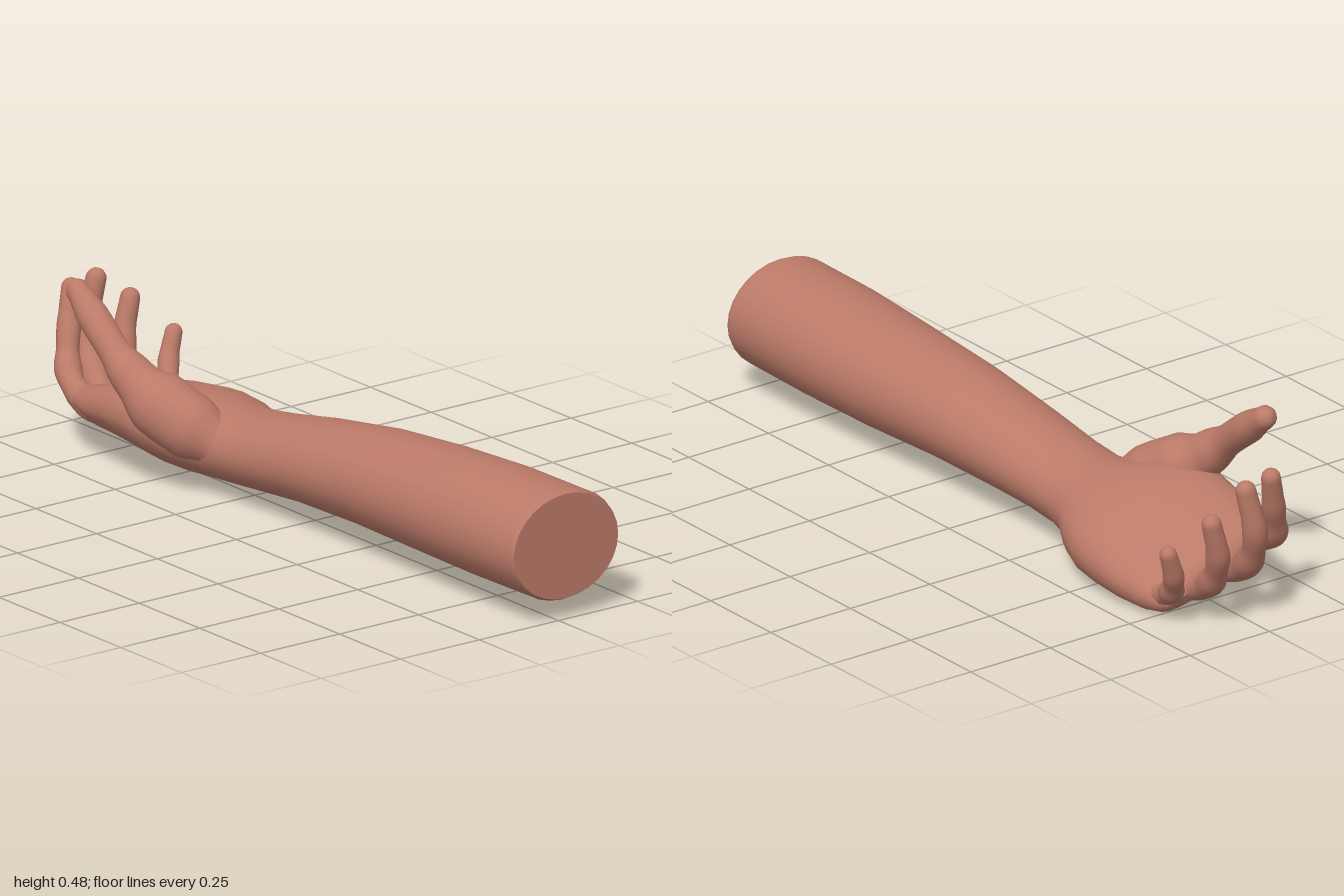
import * as THREE from 'three';

const skin = new THREE.MeshStandardMaterial({ color: 0xbb7a68 });
skin.name = 'skin';
const SIDES = 28;

// Joins closed rings of points (counter-clockwise about the direction of travel)
function loft(rings) {
  const n = rings[0].length, pos = [], idx = [];
  rings.forEach(r => r.forEach(p => pos.push(p.x, p.y, p.z)));
  for (let i = 0; i < rings.length - 1; i++) {
    for (let j = 0; j < n; j++) {
      const a = i * n + j, b = i * n + (j + 1) % n;
      idx.push(a, b, b + n, a, b + n, a + n);
    }
  }
  const g = new THREE.BufferGeometry();
  g.setAttribute('position', new THREE.Float32BufferAttribute(pos, 3));
  g.setIndex(idx);
  g.computeVertexNormals();
  return g;
}

function part(name, geometry) {
  const m = new THREE.Mesh(geometry, skin);
  m.name = name;
  return m;
}

// Tilted superellipse ring across z
function section([z, cx, cy, rx, ry, tilt = 0, power = 2]) {
  const pts = [], t = THREE.MathUtils.degToRad(tilt), c = Math.cos(t), s = Math.sin(t);
  const bend = v => Math.sign(v) * Math.abs(v) ** (2 / power);
  for (let j = 0; j < SIDES; j++) {
    const a = j / SIDES * Math.PI * 2;
    const u = rx * bend(Math.cos(a)), v = -ry * bend(Math.sin(a));
    pts.push(new THREE.Vector3(cx + u * c - v * s, cy + u * s + v * c, z));
  }
  return pts;
}

// Tapered digit along a curve, with a rounded tip; radii are spread evenly
function digit(points, radii, steps = 28, sides = 16) {
  const curve = new THREE.CatmullRomCurve3(points.map(p => new THREE.Vector3(...p)));
  const frames = curve.computeFrenetFrames(steps), length = curve.getLength();
  const tip = radii[radii.length - 1], rings = [];
  const ring = (p, i, r) => Array.from({ length: sides }, (_, j) => {
    const a = j / sides * Math.PI * 2;
    return p.clone().addScaledVector(frames.normals[i], r * Math.cos(a))
      .addScaledVector(frames.binormals[i], r * Math.sin(a));
  });
  for (let i = 0; i <= steps; i++) {
    const t = i / steps, f = t * (radii.length - 1), k = Math.min(Math.floor(f), radii.length - 2);
    const r = THREE.MathUtils.lerp(radii[k], radii[k + 1], THREE.MathUtils.smoothstep(f - k, 0, 1));
    rings.push(ring(curve.getPointAt(t), i, r));
  }
  const end = curve.getPointAt(1);
  for (let k = 1; k <= 5; k++) {
    const a = k / 5 * Math.PI / 2;
    const p = end.clone().addScaledVector(frames.tangents[steps], tip * Math.sin(a));
    rings.push(ring(p, steps, Math.max(tip * Math.cos(a), length * 1e-3)));
  }
  return loft(rings);
}

export function createModel() {
  const group = new THREE.Group();
  group.name = 'forearmAndHand';

  // Forearm and palm: z, centre x, centre y, half width, half height, tilt, squareness
  const sections = [
    [1, 0.024, 0.207, 0.165, 0.138],
    [0.985, 0.024, 0.207, 0.171, 0.145],
    [0.75, 0.024, 0.204, 0.171, 0.146],
    [0.5, 0.024, 0.198, 0.162, 0.139],
    [0.25, 0.018, 0.191, 0.149, 0.127],
    [0, 0.012, 0.171, 0.138, 0.11],
    [-0.15, 0.006, 0.152, 0.132, 0.101],
    [-0.25, 0.003, 0.141, 0.132, 0.098, -3],
    [-0.32, 0.003, 0.137, 0.148, 0.1, -8],
    [-0.39, 0.002, 0.138, 0.19, 0.106, -13, 2.1],
    [-0.46, 0, 0.14, 0.218, 0.108, -16, 2.2],
    [-0.54, 0.002, 0.138, 0.224, 0.1, -18, 2.3],
    [-0.63, 0.004, 0.126, 0.217, 0.083, -19, 2.4],
    [-0.71, 0.004, 0.112, 0.202, 0.066, -19, 2.5],
    [-0.765, 0.002, 0.11, 0.19, 0.053, -19, 2.5],
    [-0.79, 0, 0.112, 0.176, 0.037, -19, 2.4],
    [-0.8, 0, 0.113, 0.155, 0.008, -19, 2.2],
    [-0.801, 0, 0.113, 0.15, 0.0005, -19],
  ];
  group.add(part('forearmAndPalm', loft(sections.map(section))));

  // Flat cut end of the forearm
  const outline = section(sections[0]).map(p => new THREE.Vector2(p.x, p.y));
  const cap = part('forearmEnd', new THREE.ShapeGeometry(new THREE.Shape(outline)));
  cap.position.z = 1;
  group.add(cap);

  // Thumb with the fleshy mound at its base
  group.add(part('thumb', digit([
    [-0.075, 0.15, -0.29], [-0.125, 0.2, -0.38], [-0.157, 0.245, -0.46],
    [-0.183, 0.31, -0.54], [-0.187, 0.385, -0.635], [-0.182, 0.462, -0.74],
  ], [0.06, 0.085, 0.086, 0.058, 0.041, 0.042, 0.031])));

  // Four curled fingers
  const fingers = {
    indexFinger: [1, [[-0.125, 0.15, -0.68], [-0.14, 0.158, -0.765], [-0.122, 0.2, -0.855], [-0.085, 0.3, -0.905], [-0.058, 0.396, -0.93]]],
    middleFinger: [1.06, [[-0.025, 0.11, -0.68], [-0.03, 0.108, -0.77], [-0.015, 0.15, -0.88], [0.012, 0.265, -0.957], [0.04, 0.394, -0.955]]],
    ringFinger: [1.02, [[0.06, 0.08, -0.68], [0.068, 0.078, -0.765], [0.083, 0.118, -0.86], [0.11, 0.22, -0.932], [0.14, 0.325, -0.945]]],
    littleFinger: [0.9, [[0.135, 0.065, -0.67], [0.148, 0.066, -0.735], [0.162, 0.098, -0.805], [0.192, 0.165, -0.855], [0.22, 0.237, -0.87]]],
  };
  const fingerRadii = [0.044, 0.044, 0.036, 0.032, 0.036, 0.029, 0.031, 0.027, 0.025];
  for (const [name, [size, points]] of Object.entries(fingers)) {
    group.add(part(name, digit(points, fingerRadii.map(r => r * size))));
  }
  return group;
}
